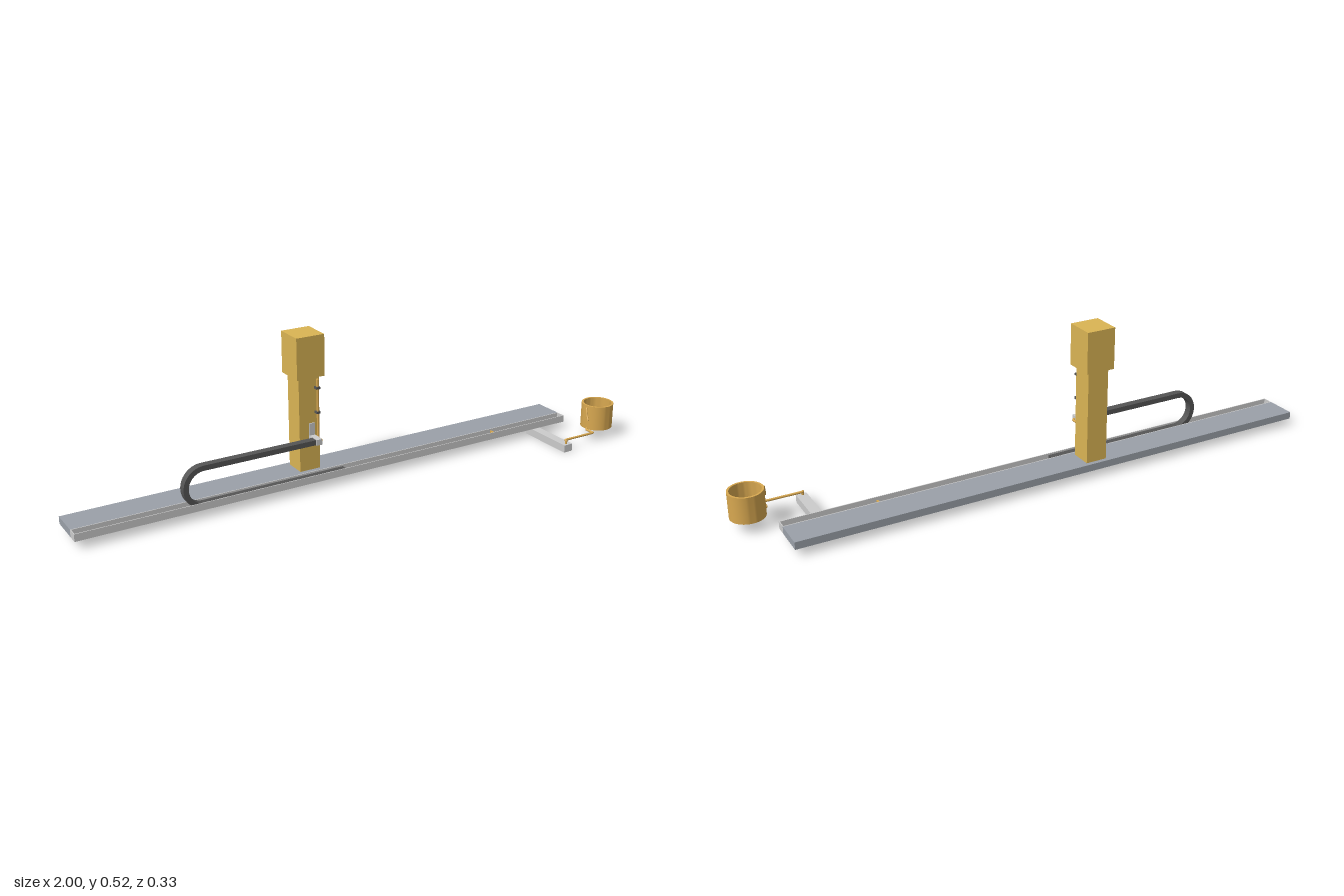
import * as THREE from 'three';
import { toCreasedNormals } from 'three/addons/utils/BufferGeometryUtils.js';

const mat = (color, side = THREE.FrontSide) => new THREE.MeshStandardMaterial({ color, side });
const grey = mat(0xcccccc);
const railGrey = mat(0x9aa0a8);
const dark = mat(0x555555);
const yellow = mat(0xdab454);
const brass = mat(0xd8a850, THREE.DoubleSide);

export function createModel() {
  const model = new THREE.Group();

  const add = (name, geometry, material) => {
    const mesh = new THREE.Mesh(geometry, material);
    mesh.name = name;
    model.add(mesh);
    return mesh;
  };

  // Box given by its extents along x, y and z
  const box = (name, [x0, x1], [y0, y1], [z0, z1], material) =>
    add(name, new THREE.BoxGeometry(x1 - x0, y1 - y0, z1 - z0), material)
      .position.set((x0 + x1) / 2, (y0 + y1) / 2, (z0 + z1) / 2);

  // Round pipe through points, with small rounded elbows
  const pipe = (name, points, radius, bend = 0.007) => {
    const p = points.map((a) => new THREE.Vector3(...a));
    const path = new THREE.CurvePath();
    let from = p[0];
    for (let i = 1; i < p.length - 1; i++) {
      const before = p[i].clone().add(p[i - 1].clone().sub(p[i]).setLength(bend));
      const after = p[i].clone().add(p[i + 1].clone().sub(p[i]).setLength(bend));
      path.add(new THREE.LineCurve3(from, before));
      path.add(new THREE.QuadraticBezierCurve3(before, p[i], after));
      from = after;
    }
    path.add(new THREE.LineCurve3(from, p[p.length - 1]));
    add(name, new THREE.TubeGeometry(path, 100, radius, 12), brass);
    // End caps
    for (const [end, next] of [[p[0], p[1]], [p[p.length - 1], p[p.length - 2]]]) {
      const cap = add(name + 'Cap', new THREE.CircleGeometry(radius, 12), brass);
      cap.position.copy(end);
      cap.lookAt(end.clone().multiplyScalar(2).sub(next));
    }
  };

  // Base rail with an open cable trough along its front
  const rail = [-1, 0.88], railY = [0.027, 0.052];
  box('rail', rail, railY, [-0.163, -0.057], railGrey);
  box('troughFloor', rail, [0.027, 0.03], [-0.057, -0.02], grey);
  box('troughBackWall', rail, railY, [-0.057, -0.054], grey);
  box('troughFrontWall', rail, railY, [-0.023, -0.02], grey);
  box('troughEnd', [-1, -0.997], railY, [-0.054, -0.023], grey);
  box('troughEnd', [0.877, 0.88], railY, [-0.054, -0.023], grey);
  box('troughPin', [0.562, 0.568], [0.03, 0.045], [-0.054, -0.03], brass);

  // Column and head
  box('column', [-0.21, -0.135], [0.052, 0.378], [-0.148, -0.073], yellow);
  box('head', [-0.222, -0.12], [0.378, 0.52], [-0.163, -0.06], yellow);

  // Cable chain: lower run in the trough, half-turn, upper run to the bracket
  const cx = -0.573, cy = 0.1025, outer = 0.0725, inner = 0.055;
  const chain = new THREE.Shape();
  chain.moveTo(-0.06, cy - outer);
  chain.lineTo(-0.06, cy - inner);
  chain.lineTo(cx, cy - inner);
  chain.absarc(cx, cy, inner, -Math.PI / 2, Math.PI / 2, true);
  chain.lineTo(-0.157, cy + inner);
  chain.lineTo(-0.157, cy + outer);
  chain.lineTo(cx, cy + outer);
  chain.absarc(cx, cy, outer, Math.PI / 2, Math.PI * 1.5, false);
  const chainGeometry = new THREE.ExtrudeGeometry(chain, { depth: 0.026, bevelEnabled: false, curveSegments: 32 });
  add('cableChain', toCreasedNormals(chainGeometry, 0.6), dark).position.z = -0.051;

  // Bracket joining the chain to the column
  box('bracketShelf', [-0.175, -0.154], [0.156, 0.176], [-0.053, -0.022], grey);
  box('bracketArm', [-0.175, -0.154], [0.156, 0.176], [-0.073, -0.053], grey);
  box('bracketPlate', [-0.175, -0.154], [0.156, 0.218], [-0.073, -0.069], grey);

  // Riser pipe on the column with its clips
  pipe('riserPipe', [[-0.165, 0.165, -0.037], [-0.146, 0.165, -0.037],
    [-0.146, 0.165, -0.063], [-0.146, 0.37, -0.063]], 0.004);
  for (const y of [0.255, 0.34]) {
    box('pipeClip', [-0.153, -0.139], [y - 0.004, y + 0.004], [-0.073, -0.057], dark);
  }

  // Side arm under the rail
  box('sideArm', [0.73, 0.765], [0, 0.027], [-0.053, 0.163], grey);

  // Pipe from the arm to the ring, and the hook on the ring
  pipe('feedPipe', [[0.745, 0.025, 0.153], [0.745, 0.04, 0.153], [0.745, 0.04, 0.147],
    [0.877, 0.04, 0.147], [0.877, 0.04, 0.11], [0.888, 0.04, 0.1]], 0.004, 0.003);
  pipe('ringHook', [[0.874, 0.078, 0.12], [0.877, 0.092, 0.11], [0.882, 0.118, 0.098],
    [0.89, 0.118, 0.094]], 0.003, 0.003);

  // Open-ended ring
  const r0 = 0.05, r1 = 0.057, y0 = 0.037, y1 = 0.127;
  const profile = [[r1, y0], [r1, y1], [r0, y1], [r0, y0], [r1, y0]].map((a) => new THREE.Vector2(...a));
  const ringGeometry = toCreasedNormals(new THREE.LatheGeometry(profile, 48), 0.6);
  add('ring', ringGeometry, brass).position.set(0.943, 0, 0.088);

  return model;
}
